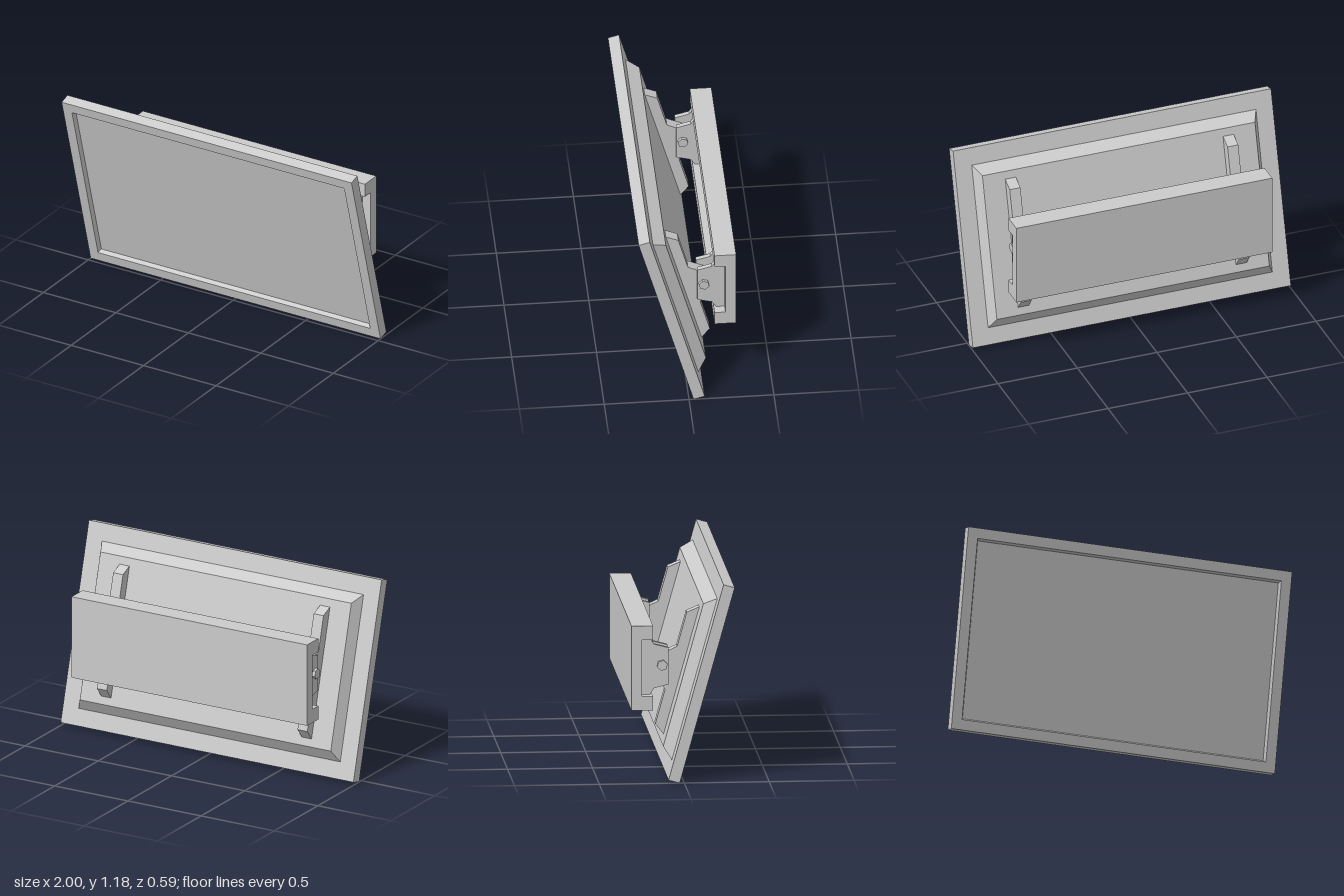
import * as THREE from 'three';

const TILT = THREE.MathUtils.degToRad(15.55);

// Rectangular loops [halfWidth, bottom, top, depthBehindFront] joined front to back
function loftRects(rings, capEnd) {
  const corners = rings.map(([h, b, t, d]) =>
    [[-h, b, -d], [h, b, -d], [h, t, -d], [-h, t, -d]]);
  const pos = [];
  const quad = (a, b, c, d) => [a, b, c, a, c, d].forEach((p) => pos.push(...p));
  for (let r = 0; r + 1 < corners.length; r++) {
    const f = corners[r], k = corners[r + 1];
    for (let i = 0; i < 4; i++) {
      const j = (i + 1) % 4;
      quad(f[i], k[i], k[j], f[j]);
    }
  }
  if (capEnd) {
    const e = corners[corners.length - 1];
    quad(e[0], e[3], e[2], e[1]);
  }
  const geo = new THREE.BufferGeometry();
  geo.setAttribute('position', new THREE.Float32BufferAttribute(pos, 3));
  geo.computeVertexNormals();
  return geo;
}

// Side profile of [backward, up] points, extruded across x and centred
function sideProfile(points, width) {
  const shape = new THREE.Shape(points.map(([a, b]) => new THREE.Vector2(a, b)));
  const geo = new THREE.ExtrudeGeometry(shape, { depth: width, bevelEnabled: false });
  geo.translate(0, 0, -width / 2);
  geo.rotateY(Math.PI / 2);
  return geo;
}

export function createModel() {
  const model = new THREE.Group();
  model.name = 'wallMountedScreen';
  const grey = new THREE.MeshStandardMaterial({ color: 0xcccccc, flatShading: true });
  grey.name = 'light grey';

  const add = (parent, name, geo, x = 0, y = 0, z = 0) => {
    const mesh = new THREE.Mesh(geo, grey);
    mesh.name = name;
    mesh.position.set(x, y, z);
    parent.add(mesh);
    return mesh;
  };

  // Tilted display, pivoting at its lower front edge
  const display = new THREE.Group();
  display.name = 'display';
  display.position.set(0, 0.001, -0.027);
  display.rotation.x = TILT;
  model.add(display);

  // Frame with a bevelled lip around the recessed screen
  add(display, 'frame', loftRects([
    [0.929, 0.072, 1.136, 0.026],
    [0.939, 0.062, 1.146, 0],
    [1, 0, 1.208, 0],
    [1, 0, 1.208, 0.068],
  ], true));
  add(display, 'screen', new THREE.PlaneGeometry(1.858, 1.064), 0, 0.604, -0.026);

  // Bevelled rear housing
  add(display, 'rearHousing', loftRects([
    [0.895, 0.102, 1.103, 0.066],
    [0.857, 0.163, 1.045, 0.134],
  ], true));

  // Channel fixed to the wall
  add(model, 'wallRail', sideProfile([
    [0.168, 0.4], [0.295, 0.4], [0.295, 0.905], [0.168, 0.905],
    [0.168, 0.822], [0.232, 0.822], [0.232, 0.484], [0.168, 0.484],
  ], 1.61));

  for (const side of [-1, 1]) {
    const x = side * 0.685;

    // Arm with a central lug reaching back to the pivot
    add(display, 'arm', sideProfile([
      [0.133, 0.21], [0.197, 0.257], [0.197, 0.471], [0.295, 0.556],
      [0.295, 0.654], [0.197, 0.737], [0.197, 0.948], [0.133, 0.998],
    ], 0.067), x);

    // Clevis bracket held in the rail
    const bracket = new THREE.Group();
    bracket.name = 'bracket';
    bracket.position.x = x;
    model.add(bracket);
    for (const s of [-1, 1]) {
      add(bracket, 'bracketPlate', sideProfile([
        [0.072, 0.543], [0.157, 0.521], [0.182, 0.484], [0.232, 0.484],
        [0.232, 0.822], [0.182, 0.822], [0.157, 0.784], [0.072, 0.762],
      ], 0.029), s * 0.048);
    }
    add(bracket, 'bracketBase', new THREE.BoxGeometry(0.068, 0.338, 0.05), 0, 0.653, -0.207);

    // Hexagonal pivot bolt
    const bolt = add(bracket, 'pivotBolt',
      new THREE.CylinderGeometry(0.032, 0.032, 0.162, 6, 1, false, Math.PI / 12),
      0, 0.659, -0.11);
    bolt.rotation.z = Math.PI / 2;
  }
  return model;
}
